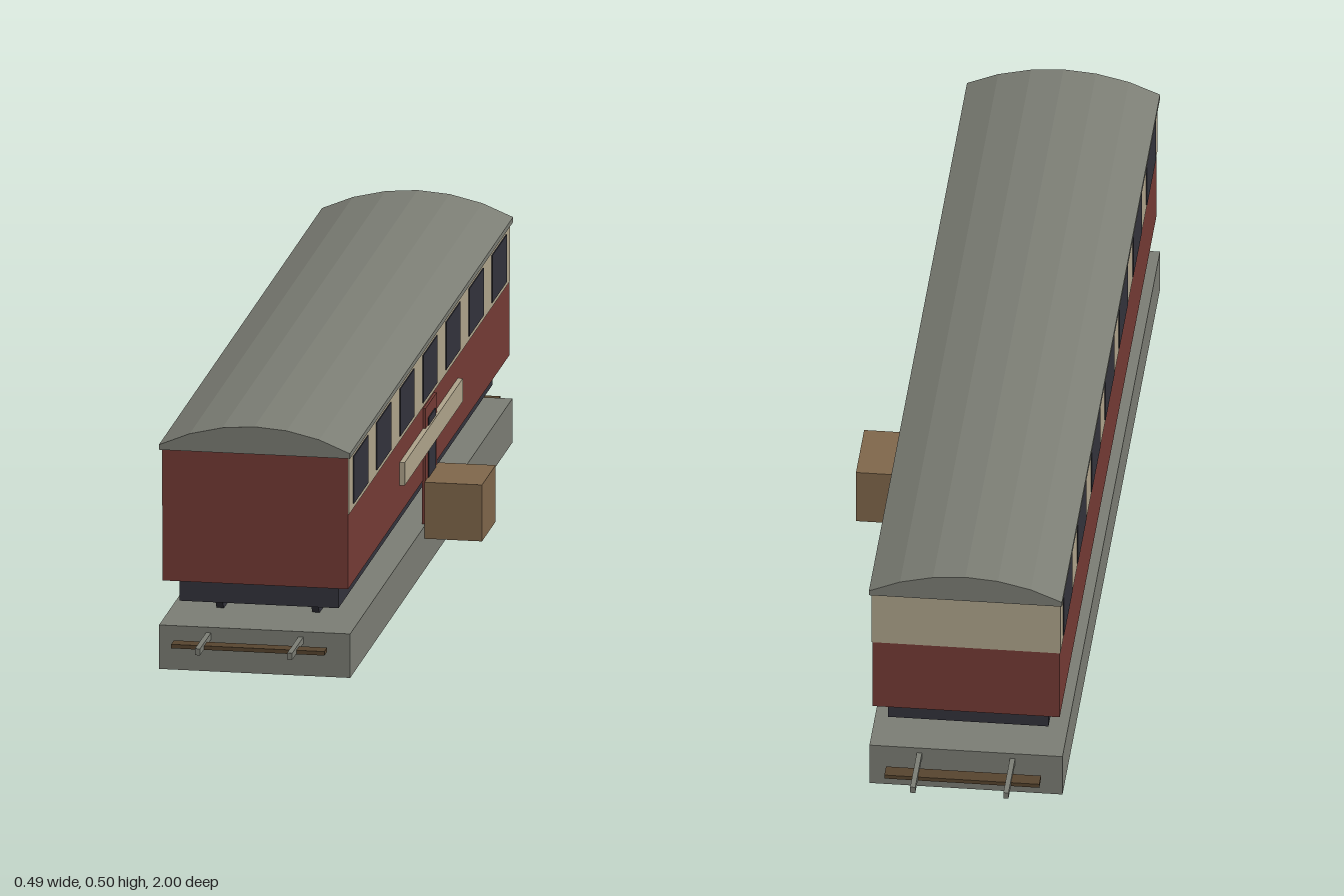
import * as THREE from 'three';

const mat = (name, color) => Object.assign(new THREE.MeshStandardMaterial({ color }), { name });

export function createModel() {
  const red = mat('maroon paint', 0x753b35);
  const cream = mat('cream paint', 0xb0a58c);
  const grey = mat('stone grey', 0x7c7e75);
  const dark = mat('dark slate', 0x33333c);
  const wood = mat('crate wood', 0x80674b);
  const sleeperWood = mat('sleeper wood', 0x57452f);

  const model = new THREE.Group();
  model.name = 'railwayCarriage';
  const CX = -0.057; // centre line of the carriage

  const add = (name, geometry, material, x = 0, y = 0, z = 0) => {
    const mesh = new THREE.Mesh(geometry, material);
    mesh.name = name;
    mesh.position.set(x, y, z);
    model.add(mesh);
    return mesh;
  };
  // Box given by its limits on each axis
  const box = (name, material, [x0, x1], [y0, y1], [z0, z1]) =>
    add(name, new THREE.BoxGeometry(x1 - x0, y1 - y0, z1 - z0), material,
      (x0 + x1) / 2, (y0 + y1) / 2, (z0 + z1) / 2);

  // Plinth and the track running through it
  box('plinth', grey, [-0.245, 0.13], [0, 0.088], [-0.88, 0.88]);
  for (const x of [-0.148, 0.033]) {
    box('rail', grey, [x - 0.005, x + 0.005], [0.064, 0.077], [-1, 1]);
  }
  for (const z of [-0.94, 0.94]) {
    box('sleeper', sleeperWood, [-0.208, 0.093], [0.063, 0.071], [z - 0.015, z + 0.015]);
  }

  // Underframe and wheels
  box('underframe', dark, [-0.213, 0.099], [0.126, 0.178], [-0.835, 0.835]);
  const wheel = new THREE.CylinderGeometry(0.057, 0.057, 0.014, 16).rotateZ(Math.PI / 2);
  for (const x of [-0.151, 0.037]) {
    for (const z of [-0.7, -0.55, 0.55, 0.7]) add('wheel', wheel, dark, x, 0.132, z);
  }

  // Body with a cream window band that also wraps the back end
  box('body', red, [-0.239, 0.125], [0.176, 0.442], [-0.875, 0.875]);
  box('windowBand', cream, [-0.2405, 0.1265], [0.325, 0.441], [-0.876, 0.873]);

  // Seven windows on each side
  for (const side of [-1, 1]) {
    for (let i = -3; i <= 3; i++) {
      const x = CX + side * 0.184;
      box('window', dark, [x - 0.0015, x + 0.0015], [0.335, 0.43],
        [i * 0.25 - 0.078, i * 0.25 + 0.078]);
    }
  }

  // Arched roof
  const half = [[0.1875, 0.45], [0.127, 0.475], [0.063, 0.49]];
  const profile = [[-0.1875, 0.44], [0.1875, 0.44], ...half, [0, 0.495],
    ...half.map(([x, y]) => [-x, y]).reverse()];
  const roofShape = new THREE.Shape(profile.map(([x, y]) => new THREE.Vector2(x, y)));
  add('roof', new THREE.ExtrudeGeometry(roofShape, { depth: 1.77, bevelEnabled: false }),
    grey, CX, 0, -0.885);

  // Door, its dark panel, the long board and the crate
  box('door', red, [0.123, 0.13], [0.088, 0.32], [-0.06, 0.06]);
  box('doorPanel', dark, [0.129, 0.132], [0.11, 0.295], [-0.038, 0.038]);
  box('board', cream, [0.123, 0.135], [0.234, 0.28], [-0.315, 0.315]);
  box('crate', wood, [0.13, 0.243], [0.063, 0.176], [-0.074, 0.074]);

  return model;
}
